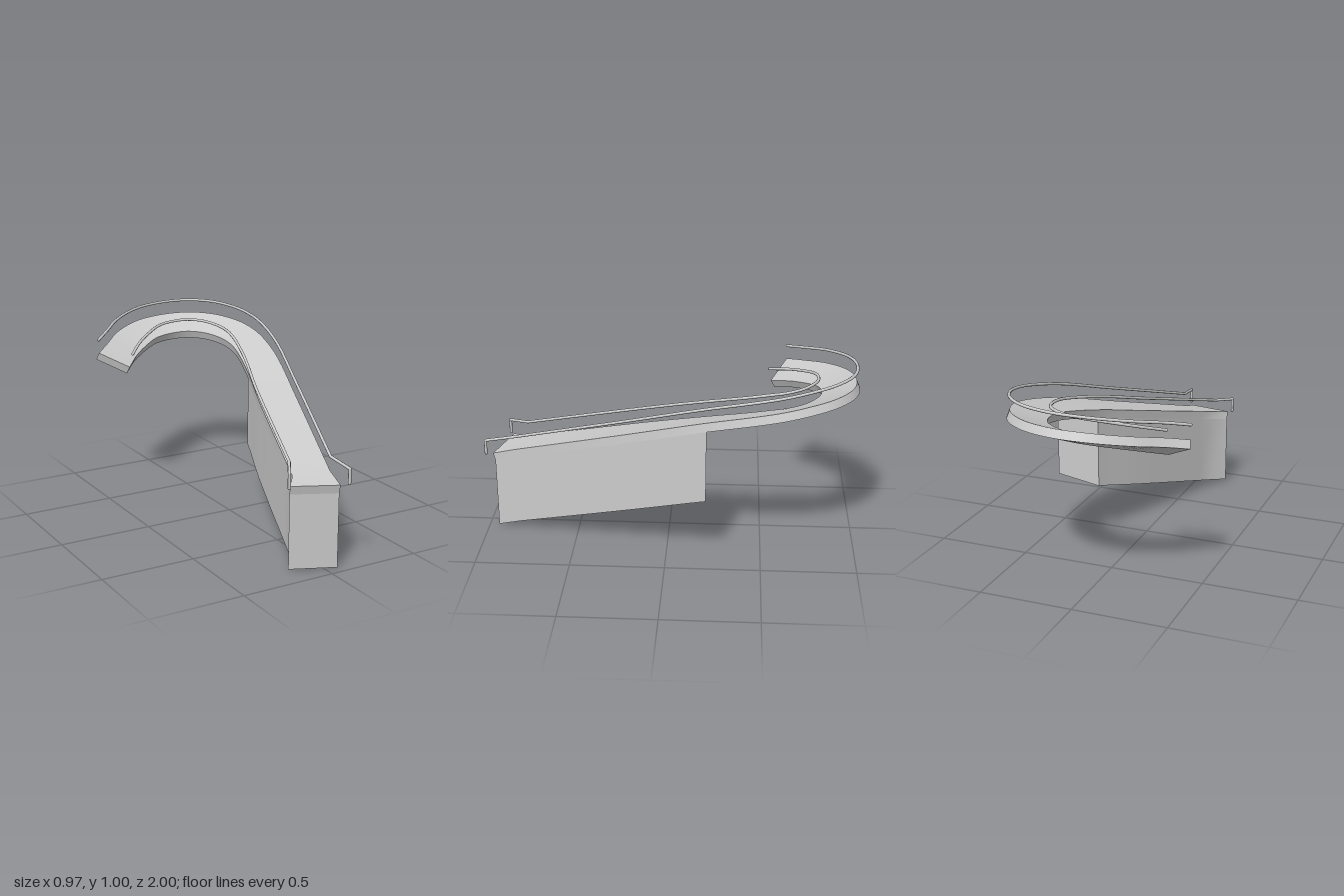
import * as THREE from 'three';
import { mergeGeometries } from 'three/addons/utils/BufferGeometryUtils.js';

const V = (p) => new THREE.Vector3(...p);
const UP = new THREE.Vector3(0, 1, 0);
const THICK = 0.046, WALL = 0.39, STEPS = 6, RAIL_R = 0.008;

// top edges of the deck, from the flared foot to the banked end of the hook
const OUTER = [
  [0.065, 0.437, 0.96], [0.085, 0.47, 0.84], [0.29, 0.665, 0.215], [0.42, 0.795, -0.2],
  [0.468, 0.855, -0.45], [0.47, 0.88, -0.58], [0.445, 0.9, -0.7], [0.37, 0.917, -0.845],
  [0.245, 0.922, -0.945], [0.085, 0.917, -0.977], [-0.085, 0.905, -0.947],
  [-0.26, 0.877, -0.845], [-0.38, 0.847, -0.725], [-0.475, 0.82, -0.635],
].map(V);
const INNER = [
  [-0.175, 0.45, 0.885], [-0.11, 0.467, 0.8], [0.095, 0.65, 0.155], [0.205, 0.737, -0.155],
  [0.28, 0.8, -0.42], [0.29, 0.82, -0.53], [0.28, 0.83, -0.62], [0.24, 0.84, -0.71],
  [0.165, 0.845, -0.775], [0.075, 0.84, -0.8], [-0.03, 0.83, -0.785],
  [-0.14, 0.805, -0.72], [-0.24, 0.775, -0.64], [-0.33, 0.74, -0.545],
].map(V);

// straight flare first, then a smooth curve through the remaining points
function edge(points) {
  const curve = new THREE.CatmullRomCurve3(points.slice(1));
  return [points[0], ...curve.getPoints((points.length - 2) * STEPS)];
}

// solid through four-cornered rings: smooth along each side, sharp at the corners
function loft(rings) {
  const parts = [];
  const add = (points, index) => {
    const g = new THREE.BufferGeometry().setFromPoints(points);
    g.setIndex(index);
    g.computeVertexNormals();
    parts.push(g);
  };
  for (let j = 0; j < 4; j++) {
    const points = [], index = [];
    rings.forEach((ring, i) => {
      points.push(ring[j], ring[(j + 1) % 4]);
      const a = 2 * i;
      if (i < rings.length - 1) index.push(a, a + 2, a + 3, a, a + 3, a + 1);
    });
    add(points, index);
  }
  add(rings[0], [0, 1, 2, 0, 2, 3]);
  add(rings[rings.length - 1], [0, 2, 1, 0, 3, 2]);
  return mergeGeometries(parts);
}

export function createModel() {
  const model = new THREE.Group();
  const material = new THREE.MeshStandardMaterial({ color: 0xcccccc });
  const addMesh = (parent, name, geometry) => {
    const mesh = new THREE.Mesh(geometry, material);
    mesh.name = name;
    parent.add(mesh);
    return mesh;
  };

  const outer = edge(OUTER), inner = edge(INNER);

  // deck: underside is offset along the banked surface normal
  const deckRings = outer.map((o, i) => {
    const a = Math.max(i - 1, 0), b = Math.min(i + 1, outer.length - 1);
    const along = outer[b].clone().add(inner[b]).sub(outer[a]).sub(inner[a]);
    const drop = o.clone().sub(inner[i]).cross(along).normalize().multiplyScalar(-THICK);
    return [o, inner[i], inner[i].clone().add(drop), o.clone().add(drop)];
  });
  addMesh(model, 'rampDeck', loft(deckRings));

  // supporting wall under the straight run
  const wallRings = deckRings.slice(0, 2 + 2 * STEPS).map(([, , innerLow, outerLow]) => [
    outerLow, innerLow,
    innerLow.clone().addScaledVector(UP, -WALL), outerLow.clone().addScaledVector(UP, -WALL),
  ]);
  addMesh(model, 'supportWall', loft(wallRings));

  // handrails: a short post, a bent link and the long rail
  function addRail(name, side, other, lean, foot) {
    const rail = new THREE.Group();
    rail.name = name;
    const path = side.slice(1).map((p, i) => {
      const away = p.clone().sub(other[i + 1]).setY(0).normalize();
      return p.clone().addScaledVector(UP, 0.075).addScaledVector(away, lean);
    });
    const elbow = foot.clone().setY(0.525);
    const bend = path[0];
    const tube = (part, curve, n) =>
      addMesh(rail, part, new THREE.TubeGeometry(curve, n, RAIL_R, 8));
    tube('post', new THREE.LineCurve3(foot, elbow), 1);
    tube('link', new THREE.LineCurve3(elbow, bend), 1);
    tube('handrail', new THREE.CatmullRomCurve3(path), 120);
    for (const p of [foot, elbow, bend, path[path.length - 1]]) {
      addMesh(rail, 'railJoint', new THREE.SphereGeometry(RAIL_R, 8, 6)).position.copy(p);
    }
    model.add(rail);
  }
  addRail('leftRail', outer, inner, 0, V([0.094, 0.45, 0.992]));
  addRail('rightRail', inner, outer, 0.018, V([-0.195, 0.45, 0.905]));

  return model;
}
